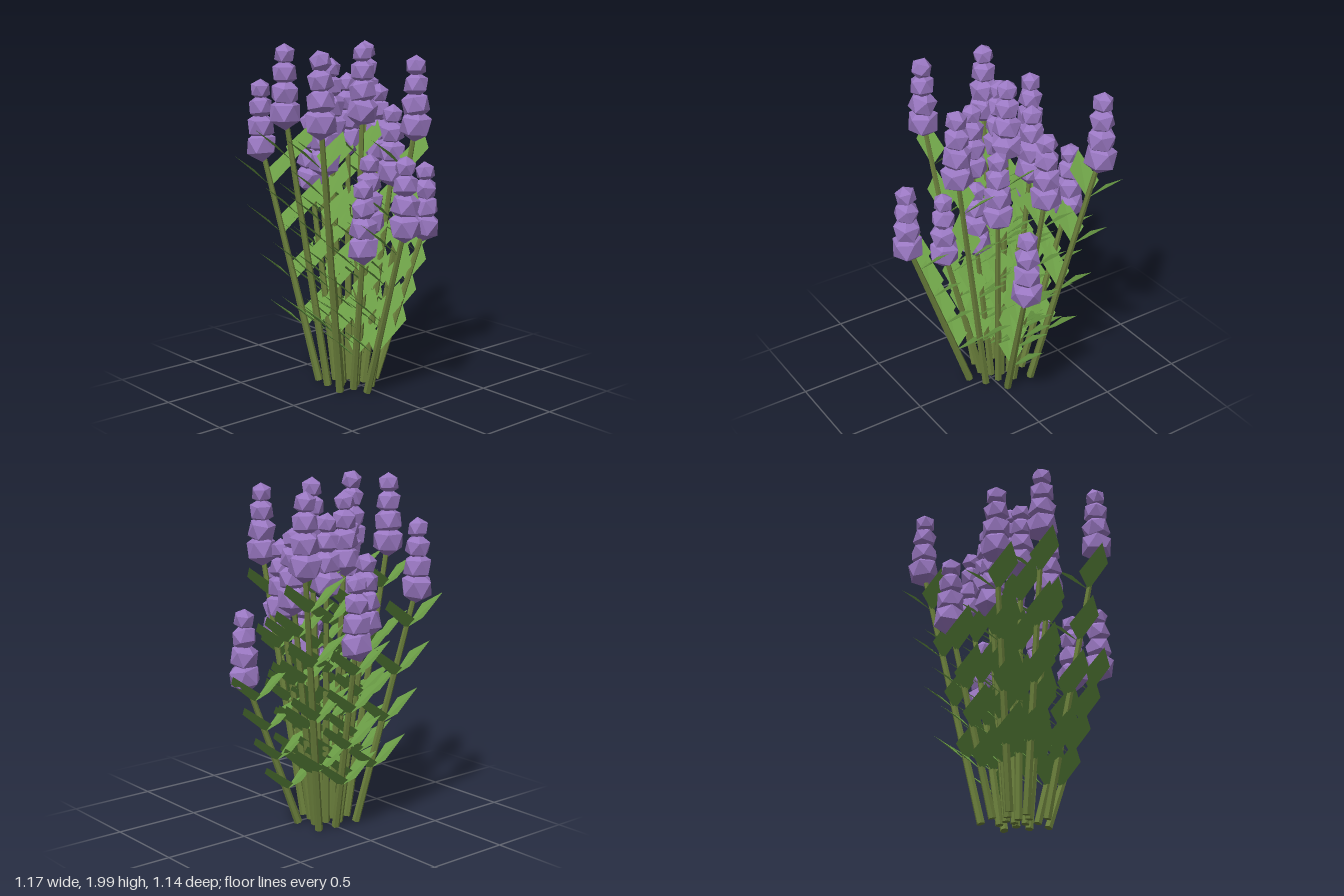
import * as THREE from 'three';

// Each stalk: flower spike x, z and the height of its tip
const STALKS = [
  [-0.33, -0.49, 1.77], [0.09, -0.47, 1.50], [0.41, -0.43, 1.95], [-0.10, -0.33, 1.58],
  [-0.38, -0.20, 1.99], [0.08, -0.21, 1.80], [0.28, -0.17, 1.73], [-0.115, -0.13, 1.90],
  [-0.24, -0.03, 1.73], [0.06, -0.06, 1.98], [-0.02, 0.09, 1.38], [0.17, 0.07, 1.64],
  [0.44, 0.06, 1.28], [-0.43, 0.17, 1.98], [-0.17, 0.21, 1.27], [0.13, 0.30, 1.93],
  [-0.11, 0.48, 1.43],
];
// Blossoms of one spike: distance below the tip, radius
const BLOSSOMS = [[0.38, 0.096], [0.27, 0.085], [0.16, 0.075], [0.06, 0.062]];
const LEAF_STEPS = [0.23, 0.43, 0.63, 0.83];

function seeded(seed) {
  return () => {
    seed = (seed * 16807) % 2147483647;
    return seed / 2147483647;
  };
}

// Lozenge leaf rising to one side, creased along its midrib
function leafGeometry(side) {
  const base = [0, 0, 0];
  const front = [0.14 * side, 0.12, 0.02];
  const tip = [0.2 * side, 0.19, -0.08];
  const back = [0.03 * side, 0.07, -0.1];
  const faces = side > 0
    ? [base, front, tip, base, tip, back]
    : [base, tip, front, base, back, tip];
  const geo = new THREE.BufferGeometry();
  geo.setAttribute('position', new THREE.Float32BufferAttribute(faces.flat(), 3));
  geo.computeVertexNormals();
  return geo;
}

export function createModel() {
  const material = (name, color, options = {}) => {
    const m = new THREE.MeshStandardMaterial({ color, flatShading: true, ...options });
    m.name = name;
    return m;
  };
  const purple = material('lavenderPurple', 0x9a78c2);
  const olive = material('stemOlive', 0x6b803c);
  const green = material('leafGreen', 0x6a9c45, { side: THREE.DoubleSide });

  // Icosahedron turned to stand on a corner
  const blossomGeo = new THREE.IcosahedronGeometry(1, 0);
  blossomGeo.rotateX(-Math.atan((1 + Math.sqrt(5)) / 2));
  const leafGeos = { leftLeaf: leafGeometry(1), rightLeaf: leafGeometry(-1) };
  const up = new THREE.Vector3(0, 1, 0);
  const random = seeded(71);

  const model = new THREE.Group();
  model.name = 'flowerBunch';
  for (const [x, z, top] of STALKS) {
    const stalk = new THREE.Group();
    stalk.name = 'stalk';
    model.add(stalk);

    // Straight stem fanning out from the narrow foot of the bunch
    const foot = new THREE.Vector3(x * 0.35 - 0.02, 0.01, z * 0.35 - 0.05);
    const head = new THREE.Vector3(x, top - BLOSSOMS[0][0], z);
    const direction = head.clone().sub(foot);
    const stem = new THREE.Mesh(
      new THREE.CylinderGeometry(0.014, 0.023, direction.length(), 6), olive);
    stem.name = 'stem';
    stem.position.copy(foot).lerp(head, 0.5);
    stem.quaternion.setFromUnitVectors(up, direction.normalize());
    stalk.add(stem);

    // Opposite pairs of leaves
    for (const step of LEAF_STEPS) {
      for (const [name, geo] of Object.entries(leafGeos)) {
        const leaf = new THREE.Mesh(geo, green);
        leaf.name = name;
        leaf.position.copy(foot).lerp(head, step);
        stalk.add(leaf);
      }
    }

    // Spike of blossoms shrinking towards the tip
    const spike = new THREE.Group();
    spike.name = 'flowerSpike';
    for (const [drop, radius] of BLOSSOMS) {
      const blossom = new THREE.Mesh(blossomGeo, purple);
      blossom.name = 'blossom';
      blossom.position.set(x, top - drop, z);
      blossom.scale.setScalar(radius);
      blossom.rotation.set((random() - 0.5) * 0.4, random() * Math.PI * 2, (random() - 0.5) * 0.4);
      spike.add(blossom);
    }
    stalk.add(spike);
  }
  return model;
}
